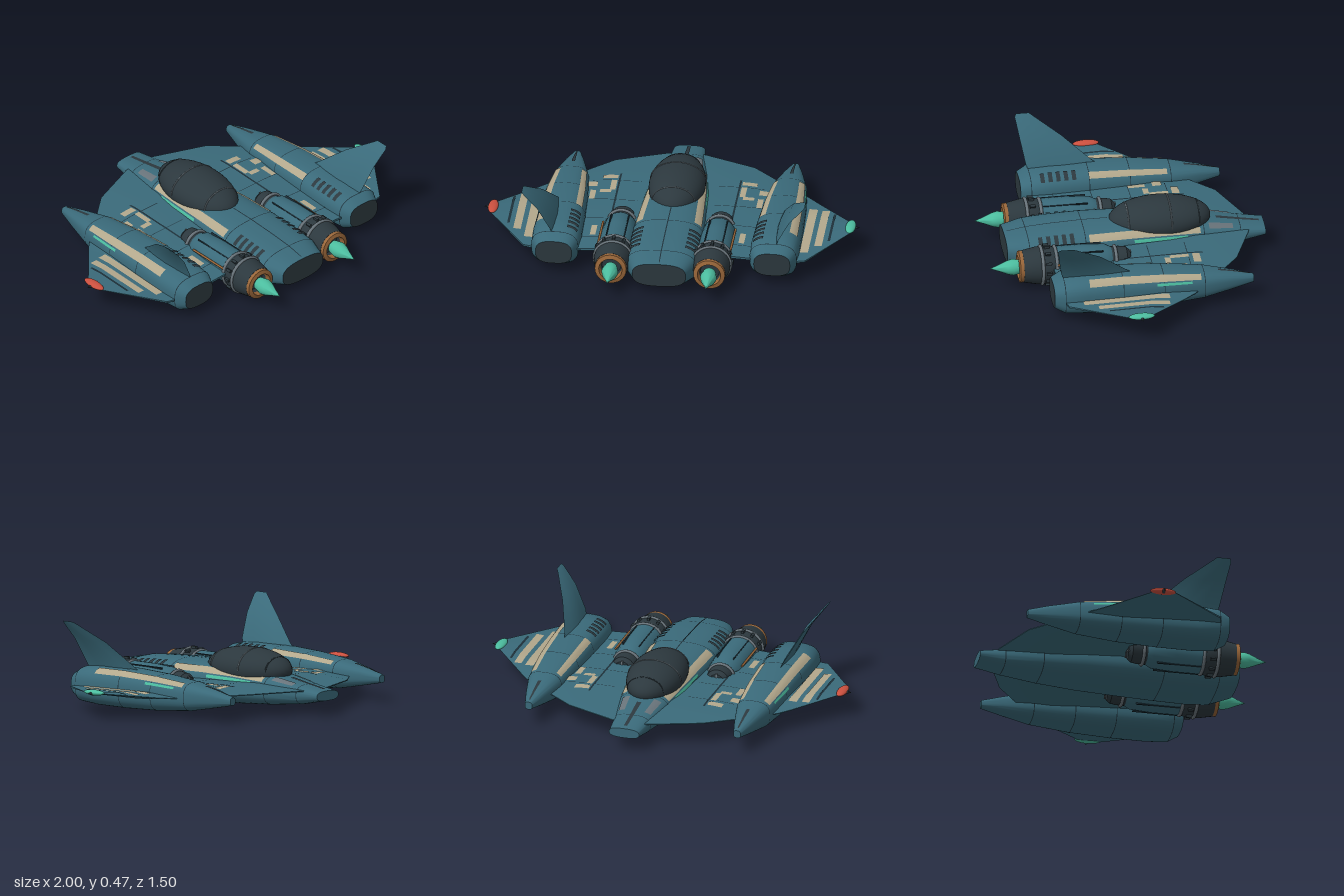
import * as THREE from 'three';
import { toCreasedNormals } from 'three/addons/utils/BufferGeometryUtils.js';

const paint = (name, color) => Object.assign(new THREE.MeshStandardMaterial({ color }), { name });

// Linear lookup in rows of [key, a, b, ...]
function lookup(rows, k) {
  let i = 0;
  while (i < rows.length - 2 && k > rows[i + 1][0]) i++;
  const a = rows[i], b = rows[i + 1], t = (k - a[0]) / (b[0] - a[0]);
  return a.map((v, j) => v + (b[j] - v) * t);
}
const steps = (a, b, n) => Array.from({ length: n + 1 }, (_, i) => a + (b - a) * i / n);

// Surface through fn(u, v) => [x, y, z]; faces along dv x du
function grid(us, vs, fn, crease = 0.6) {
  const pos = [], idx = [], n = vs.length;
  us.forEach(u => vs.forEach(v => pos.push(...fn(u, v))));
  for (let i = 0; i < us.length - 1; i++) for (let j = 0; j < n - 1; j++) {
    const a = i * n + j, b = a + n;
    idx.push(a, a + 1, b, b, a + 1, b + 1);
  }
  const g = new THREE.BufferGeometry();
  g.setAttribute('position', new THREE.Float32BufferAttribute(pos, 3));
  g.setIndex(idx);
  return toCreasedNormals(g, crease);
}

function mirrored(geo) {
  const g = geo.index ? geo.toNonIndexed() : geo.clone();
  g.scale(-1, 1, 1);
  for (const key of ['position', 'normal']) {
    const p = g.attributes[key].array;
    for (let i = 0; i < p.length; i += 9) for (let k = 0; k < 3; k++) {
      const t = p[i + 3 + k]; p[i + 3 + k] = p[i + 6 + k]; p[i + 6 + k] = t;
    }
  }
  return g;
}

// Hull with rounded-box sections, rows: [z, halfWidth, top, bottom]
function hull(cx, rows, power) {
  const at = (c, s, z, grow) => {
    const [, w, top, bot] = lookup(rows, z), e = 2 / power;
    return [cx + (w + grow) * Math.sign(c) * Math.abs(c) ** e,
      (top + bot) / 2 + ((top - bot) / 2 + grow) * Math.sign(s) * Math.abs(s) ** e, z];
  };
  const ring = steps(0, -2 * Math.PI, 40);
  const band = (zs, grow) => grid(ring, zs, (t, z) => at(Math.cos(t), Math.sin(t), z, grow), 0.5);
  return {
    skin: band(rows.map(r => r[0]), 0),
    seam: z => band([z - 0.002, z + 0.002], 0.0012),
    // u is the fraction of the half width
    patch: (u0, u1, z0, z1, grow = 0.003) => grid(steps(u0, u1, 5), steps(z0, z1, 14), (u, z) => {
      const c = Math.sign(u) * Math.abs(u) ** (power / 2);
      return at(c, Math.sqrt(1 - c * c), z, grow);
    }),
    cap: (z, back) => {
      const pts = ring.slice(1).reverse().map(t => {
        const [x, y] = at(Math.cos(t), Math.sin(t), z, 0);
        return new THREE.Vector2(back ? -x : x, y);
      });
      const g = new THREE.ShapeGeometry(new THREE.Shape(pts));
      if (back) g.rotateY(Math.PI);
      return g.translate(0, 0, z);
    },
  };
}

const lathe = (pts, seg = 28) => toCreasedNormals(new THREE.LatheGeometry(
  pts.map(([r, z]) => new THREE.Vector2(r, z)), seg).rotateX(Math.PI / 2), 0.6);

export function createModel() {
  const teal = paint('teal hull', 0x3a6a7a), beige = paint('beige paint', 0xb3a88c);
  const dark = paint('dark metal', 0x2c383e), grey = paint('grey metal', 0x68737a);
  const copper = paint('copper', 0x9a673a), green = paint('green glow', 0x4cbd9f);
  const red = paint('red light', 0xcb503f), line = paint('panel line', 0x1d3039);
  const root = new THREE.Group();
  root.name = 'spacecraft';
  const add = (name, geo, mat) => {
    const m = new THREE.Mesh(geo, mat);
    m.name = name;
    root.add(m);
  };
  const both = (name, geo, mat, rightMat = mat) => {
    add(name + ' left', geo, mat);
    add(name + ' right', mirrored(geo), rightMat);
  };

  // Main wing, rows: [x, leading z, trailing z, middle y, half thickness]
  const wing = [[0, -0.68, 0.42, 0.13, 0.022], [0.1, -0.66, 0.42, 0.13, 0.022], [0.37, -0.555, 0.42, 0.13, 0.02],
    [0.52, -0.43, 0.42, 0.122, 0.02], [0.7, -0.28, 0.41, 0.117, 0.018], [0.75, -0.225, 0.4, 0.12, 0.016],
    [0.97, 0.02, 0.09, 0.145, 0.003]];
  const bulge = s => (s < 0.25 ? 0.12 + 3.52 * s : 1 - (s - 0.25) * 0.95);
  const loop = [0, 0.25, 0.6, 1, 2, 2.4, 2.75, 3];
  both('wing', grid(wing.map(r => r[0]), [...loop, 3.001], (x, v) => {
    const [, z0, z1, y, h] = lookup(wing, x), s = v <= 1 ? v : Math.max(0, 3 - v);
    return [x, y + (v <= 1 || v > 3 ? 1 : -1) * h * bulge(s), z0 + (z1 - z0) * s];
  }), teal);
  const wingPaint = (name, mat, x0, x1, z0, z1) => both(name, grid(steps(x0, x1, 3), steps(z0, z1, 12), (x, z) => {
    const [, a, b, y, h] = lookup(wing, x);
    return [x, y + h * bulge((z - a) / (b - a)) + 0.003, z];
  }), mat);
  for (const r of [[0.33, 0.41, -0.36, -0.32], [0.33, 0.36, -0.3, -0.2], [0.35, 0.41, -0.2, -0.17], [0.43, 0.48, -0.28, -0.23],
    [0.43, 0.46, -0.19, -0.1], [0.38, 0.41, 0.18, 0.28], [0.71, 0.755, -0.14, 0.32], [0.78, 0.82, -0.13, 0.25]])
    wingPaint('wing paint block', beige, ...r);
  wingPaint('wing dark stripe', line, 0.314, 0.324, -0.38, 0.04);
  wingPaint('wing tip stripe', line, 0.845, 0.858, -0.09, 0.2);
  for (const z of [-0.3, -0.1, 0.1, 0.3]) wingPaint('wing seam', line, 0.2, 0.46, z, z + 0.004);

  // Wing tip lights
  both('tip light', new THREE.SphereGeometry(1, 20, 12).scale(0.027, 0.015, 0.07).translate(0.95, 0.146, 0.045), green, red);
  both('tip spike', new THREE.ConeGeometry(0.014, 0.04, 8).rotateZ(-Math.PI / 2).translate(0.98, 0.143, 0.045), dark);

  // Fuselage
  const body = hull(0, [[-0.755, 0.083, 0.133, 0.08], [-0.62, 0.1, 0.155, 0.052], [-0.42, 0.137, 0.19, 0.03],
    [-0.2, 0.165, 0.212, 0.016], [0, 0.178, 0.22, 0.009], [0.22, 0.19, 0.22, 0.004], [0.4, 0.192, 0.212, 0.001],
    [0.52, 0.185, 0.203, 0.01], [0.635, 0.142, 0.182, 0.05]], 2.8);
  add('fuselage', body.skin, teal);
  add('fuselage tail plate', body.cap(0.635), dark);
  add('fuselage nose plate', body.cap(-0.755, true), teal);
  for (const z of [-0.62, -0.42, 0.22, 0.52]) add('fuselage seam', body.seam(z), line);
  add('nose strip', body.patch(-0.1, 0.1, -0.73, -0.5), dark);
  add('spine seam', body.patch(-0.015, 0.015, 0.08, 0.62), line);
  both('fuselage stripe', body.patch(0.72, 0.92, -0.4, 0.2), beige);
  both('nose panel', body.patch(0.5, 0.8, -0.58, -0.45), grey);
  both('fuselage glow line', body.patch(0.945, 0.98, -0.33, -0.04), green);
  for (let i = 0; i < 5; i++)
    both('fuselage vent', body.patch(0.62, 0.92, 0.28 + i * 0.042, 0.302 + i * 0.042, 0.005), dark);

  // Canopy and its ribs
  add('canopy', new THREE.SphereGeometry(1, 36, 24).scale(0.15, 0.11, 0.272).translate(0, 0.205, -0.198), dark);
  for (const z of [-0.4, -0.245, -0.02]) {
    const k = Math.sqrt(1 - ((z + 0.198) / 0.272) ** 2);
    add('canopy rib', new THREE.TorusGeometry(1, 0.025, 6, 32, Math.PI).scale(0.15 * k, 0.11 * k, 0.15)
      .translate(0, 0.205, z), z < -0.3 ? dark : grey);
  }

  // Side pods
  const pod = hull(0.58, [[-0.61, 0.02, 0.142, 0.1], [-0.5, 0.052, 0.168, 0.078], [-0.34, 0.093, 0.198, 0.048],
    [-0.12, 0.115, 0.22, 0.028], [0.1, 0.125, 0.23, 0.02], [0.3, 0.13, 0.228, 0.02], [0.41, 0.124, 0.218, 0.028],
    [0.465, 0.096, 0.188, 0.058]], 2.8);
  both('pod', pod.skin, teal);
  both('pod tail plate', pod.cap(0.465), dark);
  both('pod nose plate', pod.cap(-0.61, true), teal);
  for (const z of [-0.34, -0.12, 0.1, 0.41]) both('pod seam', pod.seam(z), line);
  both('pod nose strip', pod.patch(-0.12, 0.12, -0.59, -0.42), dark);
  both('pod outer stripe', pod.patch(0.55, 0.86, -0.32, 0.28), beige);
  both('pod inner stripe', pod.patch(-0.86, -0.6, -0.32, 0.1), beige);
  both('pod glow line', pod.patch(0.9, 0.95, -0.27, -0.08), green);
  for (let i = 0; i < 5; i++)
    both('pod vent', pod.patch(-0.85, -0.45, 0.17 + i * 0.042, 0.192 + i * 0.042, 0.005), dark);

  // Outward canted fins, rows: [y, x, leading z, trailing z, half thickness]
  const fin = [[0.19, 0.59, 0.0, 0.4, 0.016], [0.24, 0.605, 0.07, 0.42, 0.015], [0.365, 0.668, 0.22, 0.443, 0.01],
    [0.455, 0.74, 0.36, 0.458, 0.005], [0.468, 0.752, 0.38, 0.45, 0]];
  both('fin', grid(fin.map(r => r[0]), steps(0, 2, 8), (y, v) => {
    const [, x, z0, z1, h] = lookup(fin, y), s = v <= 1 ? v : 2 - v;
    return [x + (v <= 1 ? -1 : 1) * h * Math.sin(s * Math.PI), y, z0 + (z1 - z0) * s];
  }), teal);

  // Engines
  const engine = (name, geo, mat) => both('engine ' + name, geo.translate(0.262, 0.115, 0), mat);
  engine('intake', lathe([[0, 0], [0.045, 0], [0.064, 0.02], [0.07, 0.06], [0.07, 0.12]]), dark);
  engine('casing', lathe([[0.07, 0.1], [0.086, 0.13], [0.094, 0.25], [0.094, 0.42]]), teal);
  engine('exhaust', lathe([[0.094, 0.41], [0.1, 0.43], [0.1, 0.5], [0.085, 0.575], [0.06, 0.575], [0.05, 0.55], [0, 0.55]]), dark);
  for (const [z, r] of [[0.08, 0.072], [0.4, 0.094], [0.475, 0.1]])
    engine('ring', new THREE.TorusGeometry(r, 0.009, 8, 32).translate(0, 0, z), grey);
  engine('nozzle ring', lathe([[0.062, 0.578], [0.084, 0.572], [0.084, 0.594], [0.062, 0.6], [0.056, 0.57]]), copper);
  engine('flame', lathe([[0, 0.555], [0.035, 0.58], [0.044, 0.625], [0.037, 0.655], [0.018, 0.7], [0, 0.75]], 20), green);
  for (let i = 0; i < 12; i++) {
    const a = i * Math.PI / 6;
    engine('bolt', new THREE.BoxGeometry(0.014, 0.018, 0.03).translate(0, 0.103, 0.445).rotateZ(a), dark);
    if (i % 2) engine('casing rib', new THREE.BoxGeometry(0.006, 0.012, 0.24).translate(0, 0.092, 0.27).rotateZ(a), line);
    else engine('intake blade', new THREE.BoxGeometry(0.008, 0.04, 0.01).translate(0, 0.03, 0).rotateZ(a), grey);
  }
  engine('pipe', new THREE.CylinderGeometry(0.006, 0.006, 0.24, 8).rotateX(Math.PI / 2).translate(0.09, 0.04, 0.28), copper);
  return root;
}
